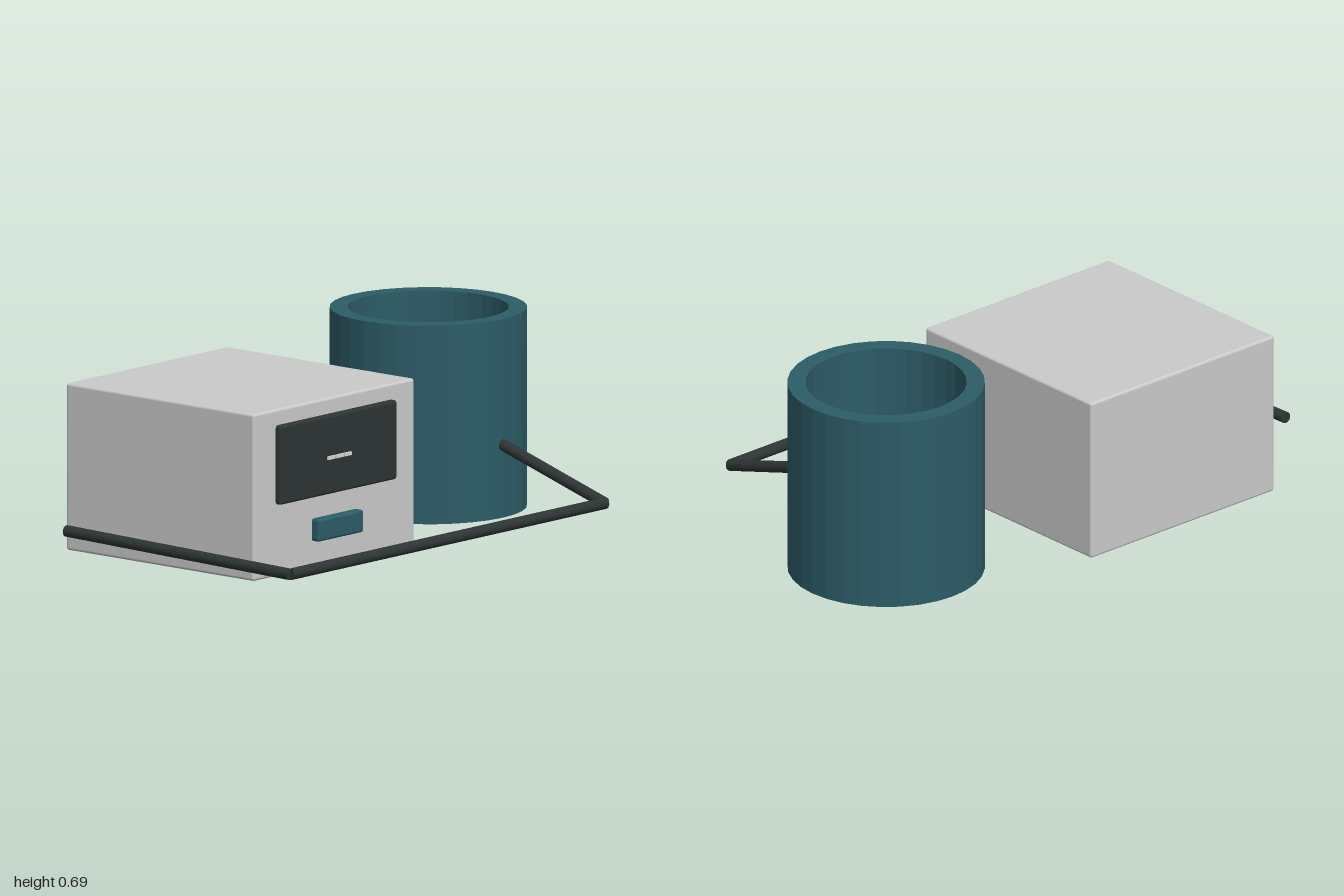
import * as THREE from 'three';
import { RoundedBoxGeometry } from 'three/addons/geometries/RoundedBoxGeometry.js';

const paint = (name, color) => {
  const m = new THREE.MeshStandardMaterial({ color });
  m.name = name;
  return m;
};

export function createModel() {
  const group = new THREE.Group();
  const grey = paint('light grey', 0xcacaca);
  const dark = paint('charcoal', 0x2d3534);
  const teal = paint('teal', 0x2d5c67);
  const pale = paint('pale readout', 0xd4dad8);

  const add = (name, geometry, material) => {
    const mesh = new THREE.Mesh(geometry, material);
    mesh.name = name;
    group.add(mesh);
    return mesh;
  };

  // Rounded box given by its lower and upper corners
  const block = (name, lo, hi, radius, material) => {
    const size = hi.map((v, i) => v - lo[i]);
    const mesh = add(name, new RoundedBoxGeometry(...size, 3, radius), material);
    mesh.position.set(...hi.map((v, i) => (v + lo[i]) / 2));
  };

  // Monitor body with its screen and button
  block('monitorBody', [-0.74, 0, -0.62], [0.1, 0.58, 0.225], 0.01, grey);
  block('screen', [-0.625, 0.25, 0.215], [-0.015, 0.525, 0.247], 0.01, dark);
  block('button', [-0.437, 0.095, 0.215], [-0.2, 0.173, 0.257], 0.01, teal);

  // Three dashes on the screen
  for (let i = -1; i <= 1; i++) {
    const dash = add('readoutDash', new THREE.BoxGeometry(0.037, 0.012, 0.008), pale);
    dash.position.set(-0.322 + i * 0.043, 0.378, 0.25);
  }

  // Open cuff ring with flat facets
  const profile = [[0.275, 0], [0.337, 0], [0.337, 0.69], [0.275, 0.69], [0.275, 0]]
    .map(([r, y]) => new THREE.Vector2(r, y));
  const ring = new THREE.LatheGeometry(profile, 32).toNonIndexed();
  ring.computeVertexNormals();
  add('cuff', ring, teal).position.set(0.66, 0, -0.198);

  // Hose of straight rods from the cuff around the front to the far side
  const path = [[0.66, 0.257, 0.125], [0.66, 0.11, 0.597], [-0.98, 0.11, 0.597], [-0.98, 0.13, -0.41]]
    .map((p) => new THREE.Vector3(...p));
  for (let i = 0; i < path.length - 1; i++) {
    const along = path[i + 1].clone().sub(path[i]);
    const rod = add('hoseSection', new THREE.CylinderGeometry(0.02, 0.02, along.length(), 16), dark);
    rod.position.copy(path[i]).addScaledVector(along, 0.5);
    rod.quaternion.setFromUnitVectors(new THREE.Vector3(0, 1, 0), along.normalize());
  }

  return group;
}
